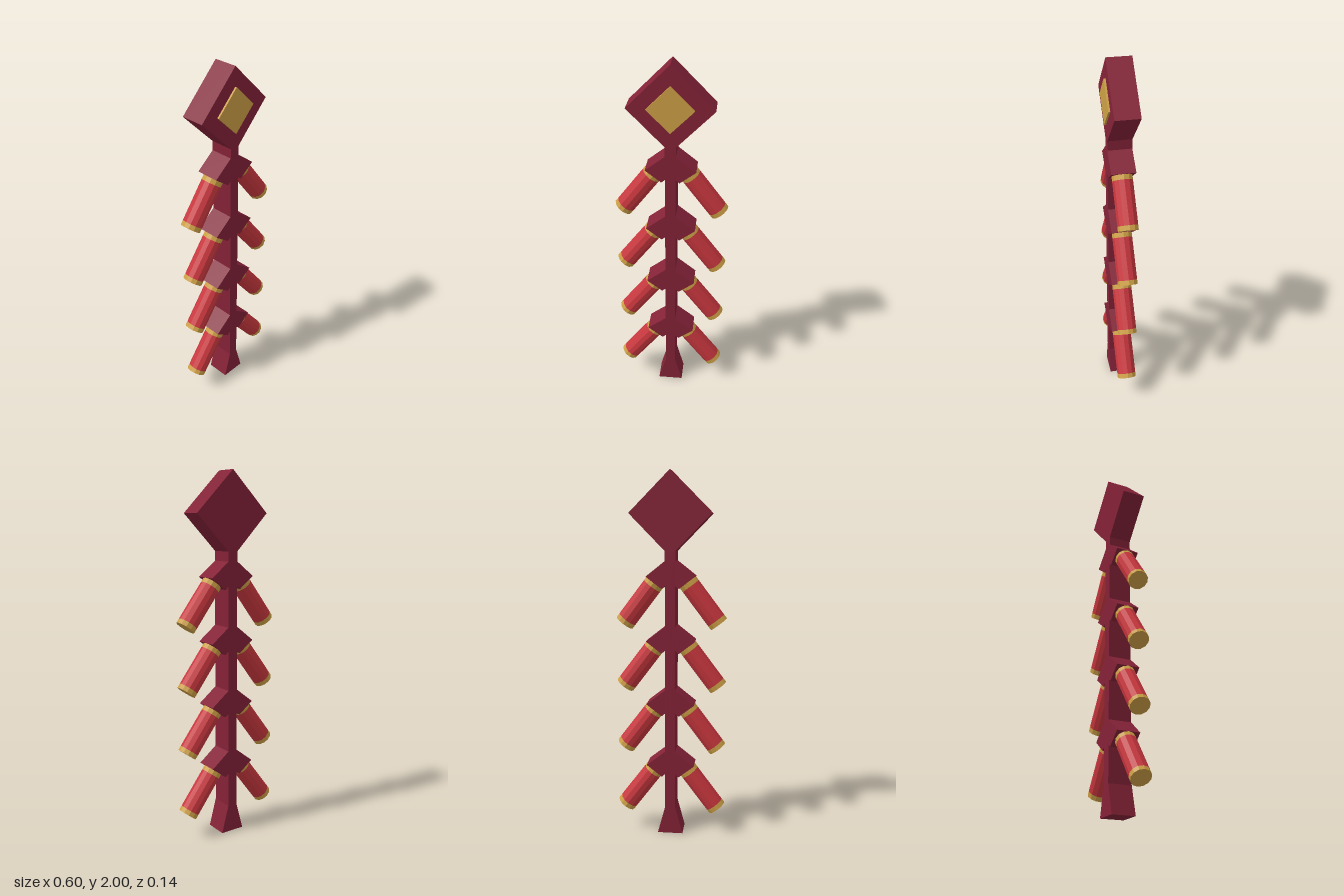
import * as THREE from 'three';

const BACK = -0.07, FRONT = 0.058, AXIS_Z = -0.005;
const RADIUS = 0.054, CAP = 0.026;
const TIERS = [0, 1, 2, 3].map(i => 1.53 - 0.35 * i);

export function createModel() {
  const make = (name, color) => {
    const m = new THREE.MeshStandardMaterial({ color, flatShading: true });
    m.name = name;
    return m;
  };
  const maroon = make('maroon', 0x842237);
  const red = make('red', 0xc8373e);
  const gold = make('gold', 0xcc9f45);

  const model = new THREE.Group();
  model.name = 'firecrackerString';
  const add = (parent, name, geometry, material) => {
    const mesh = new THREE.Mesh(geometry, material);
    mesh.name = name;
    parent.add(mesh);
    return mesh;
  };

  // Backbone: half outline from top to bottom, mirrored and extruded
  const half = [[0.221, 1.779], [0.028, 1.582]];
  for (const y of TIERS) {
    half.push([0.028, y], [0.132, y - 0.082], [0.047, y - 0.147], [0.028, y - 0.131]);
  }
  half.push([0.028, 0.155], [0.07, 0]);
  const outline = [[0, 2], ...half, ...half.map(([x, y]) => [-x, y]).reverse()];
  const shape = new THREE.Shape(outline.map(([x, y]) => new THREE.Vector2(x, y)));
  const body = new THREE.ExtrudeGeometry(shape, { depth: FRONT - BACK, bevelEnabled: false });
  body.translate(0, 0, BACK);
  add(model, 'backbone', body, maroon);

  // Gold diamond on the front of the head
  const side = 0.12 * Math.SQRT2;
  const plate = add(model, 'diamondPlate', new THREE.BoxGeometry(side, side, 0.0098), gold);
  plate.position.set(0, 1.779, FRONT + 0.0049);
  plate.rotation.z = Math.PI / 4;

  // Firecrackers: a red tube with a flush gold band at each end
  const up = new THREE.Vector3(0, 1, 0);
  for (const y of TIERS) {
    for (const s of [1, -1]) {
      const top = new THREE.Vector3(s * 0.0895, y - 0.1145, AXIS_Z);
      const end = new THREE.Vector3(s * 0.259, y - 0.339, AXIS_Z);
      const length = top.distanceTo(end);
      const cracker = new THREE.Group();
      cracker.name = s > 0 ? 'leftFirecracker' : 'rightFirecracker';
      cracker.position.lerpVectors(top, end, 0.5);
      cracker.quaternion.setFromUnitVectors(up, top.clone().sub(end).normalize());
      const tube = h => new THREE.CylinderGeometry(RADIUS, RADIUS, h, 12);
      add(cracker, 'tube', tube(length - 2 * CAP), red);
      for (const [name, k] of [['upperBand', 1], ['lowerBand', -1]]) {
        add(cracker, name, tube(CAP), gold).position.y = k * (length - CAP) / 2;
      }
      model.add(cracker);
    }
  }
  return model;
}
